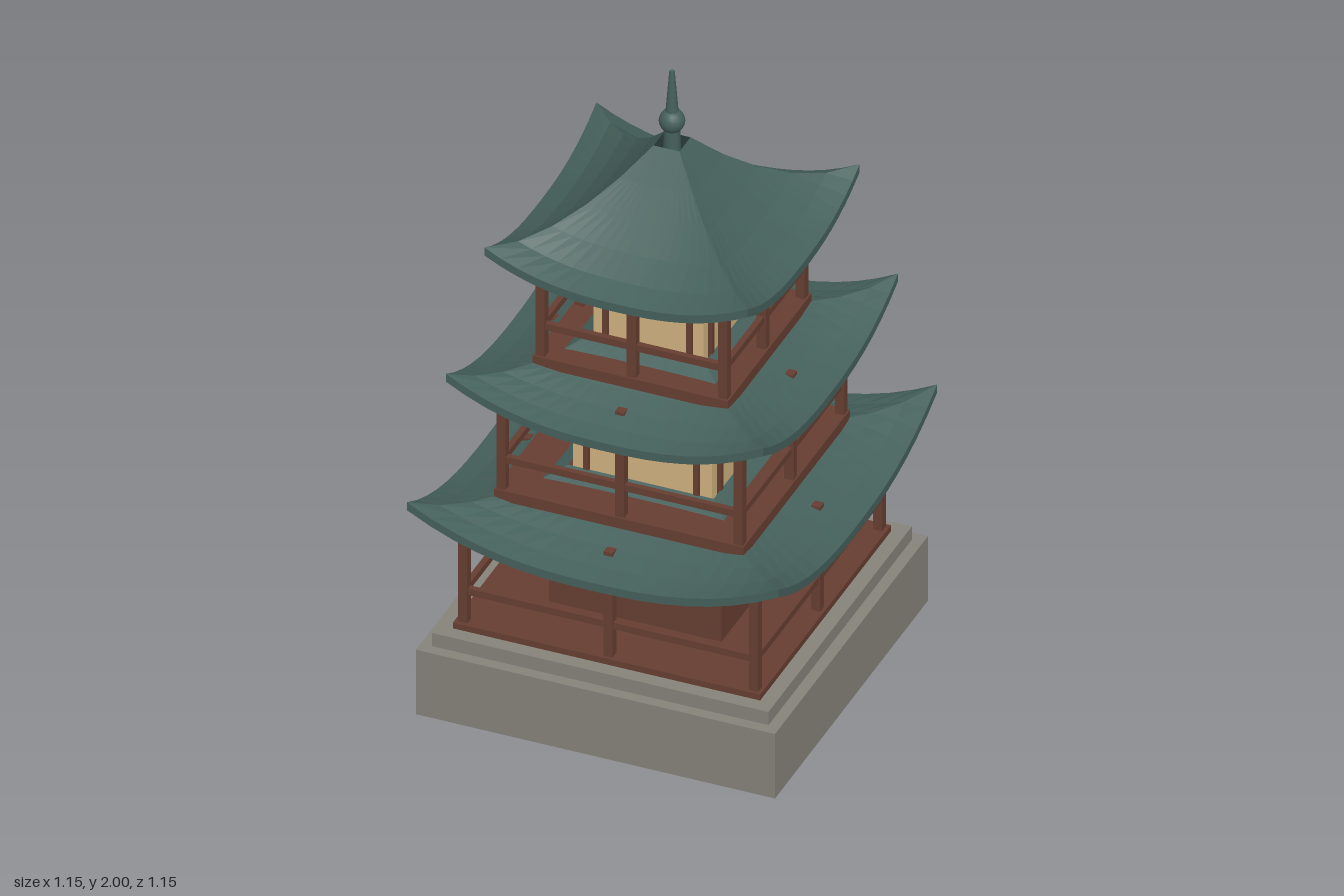
import * as THREE from 'three';

const mat = (name, color, extra = {}) => {
  const m = new THREE.MeshStandardMaterial({ color, ...extra });
  m.name = name;
  return m;
};

export function createModel() {
  const model = new THREE.Group();
  model.name = 'pagoda';
  const stone = mat('stone', 0x86837a);
  const wood = mat('wood', 0x663e31);
  const plaster = mat('plaster', 0xd0b27f);
  const tile = mat('roofTile', 0x45605b, { side: THREE.DoubleSide, flatShading: true });
  const metal = mat('finialGreen', 0x45605b);

  const add = (parent, name, geometry, material, x = 0, y = 0, z = 0) => {
    const mesh = new THREE.Mesh(geometry, material);
    mesh.name = name;
    mesh.position.set(x, y, z);
    parent.add(mesh);
    return mesh;
  };
  // Box given by its size in x and z and its bottom and top heights
  const block = (parent, name, material, w, d, y0, y1, x = 0, z = 0) =>
    add(parent, name, new THREE.BoxGeometry(w, y1 - y0, d), material, x, (y0 + y1) / 2, z);
  const group = (parent, name) => {
    const g = new THREE.Group();
    g.name = name;
    parent.add(g);
    return g;
  };
  // Repeats a part on all four sides
  const fourSides = (parent, name, build) => {
    for (let i = 0; i < 4; i++) {
      const side = group(parent, name);
      side.rotation.y = i * Math.PI / 2;
      build(side);
    }
  };

  // Stone base
  block(model, 'basePlinth', stone, 1.11, 1.11, 0, 0.22);
  block(model, 'baseStep', stone, 1.04, 1.04, 0.22, 0.265);

  // Curved hipped roof: concave slope, lifted corners, thin hanging eave edge
  const addRoof = ({ R, r0, y0, H, lift }) => {
    const height = (s, t) =>
      y0 + H * t ** 1.5 + lift * Math.abs(s) ** 2.5 * (1 - t) ** 2;
    const sheet = (rows, place) => {
      const geo = new THREE.PlaneGeometry(2, 1, 16, rows);
      const p = geo.attributes.position;
      for (let i = 0; i < p.count; i++) p.setXYZ(i, ...place(p.getX(i), p.getY(i) + 0.5));
      geo.computeVertexNormals();
      return geo;
    };
    const slope = sheet(5, (s, t) => {
      const r = R + (r0 - R) * t;
      return [s * r, height(s, t), r];
    });
    const edge = sheet(1, (s, t) => [s * R, height(s, 0) - 0.027 * (1 - t), R]);
    fourSides(group(model, 'roof'), 'roofSide', side => {
      add(side, 'roofSlope', slope, tile);
      add(side, 'eaveEdge', edge, tile);
    });
  };
  addRoof({ R: 0.575, r0: 0.225, y0: 0.603, H: 0.133, lift: 0.127 });
  addRoof({ R: 0.49, r0: 0.18, y0: 1.028, H: 0.137, lift: 0.11 });
  addRoof({ R: 0.407, r0: 0.04, y0: 1.452, H: 0.308, lift: 0.088 });

  // Storeys: deck, core, veranda posts and rails, window posts
  const storeys = [
    { name: 'groundStorey', deck: [0.475, 0.265, 0.285], post: 0.45, top: 0.64, rail: 0.39,
      core: [0.267, 0.285, 0.567], coreMat: wood },
    { name: 'middleStorey', deck: [0.386, 0.675, 0.71], post: 0.367, top: 1.068, rail: 0.81,
      core: [0.215, 0.71, 0.993], coreMat: plaster, mullion: 0.17 },
    { name: 'topStorey', deck: [0.302, 1.1, 1.135], post: 0.282, top: 1.49, rail: 1.235,
      core: [0.17, 1.135, 1.415], coreMat: plaster, mullion: 0.13 },
  ];
  for (const f of storeys) {
    const storey = group(model, f.name);
    const [dw, d0, d1] = f.deck;
    const [cw, c0, c1] = f.core;
    block(storey, 'deck', wood, dw * 2, dw * 2, d0, d1);
    block(storey, 'core', f.coreMat, cw * 2, cw * 2, c0, c1);
    fourSides(storey, 'verandaSide', side => {
      block(side, 'middlePost', wood, 0.028, 0.028, d1, f.top, 0, f.post);
      block(side, 'cornerPost', wood, 0.028, 0.028, d1, f.top, f.post, f.post);
      block(side, 'rail', wood, f.post * 2, 0.018, f.rail - 0.011, f.rail + 0.011, 0, f.post);
      if (f.mullion) for (const x of [-f.mullion, f.mullion])
        block(side, 'windowPost', wood, 0.016, 0.026, c0, c1 + 0.008, x, cw);
    });
  }

  // Finial: socket, ball and tapering spire
  const finial = group(model, 'finial');
  add(finial, 'finialSocket', new THREE.CylinderGeometry(0.024, 0.026, 0.07, 12), metal, 0, 1.77);
  add(finial, 'finialBall', new THREE.SphereGeometry(0.038, 16, 12), metal, 0, 1.832);
  add(finial, 'finialSpire', new THREE.CylinderGeometry(0.008, 0.02, 0.15, 12), metal, 0, 1.925);

  return model;
}
